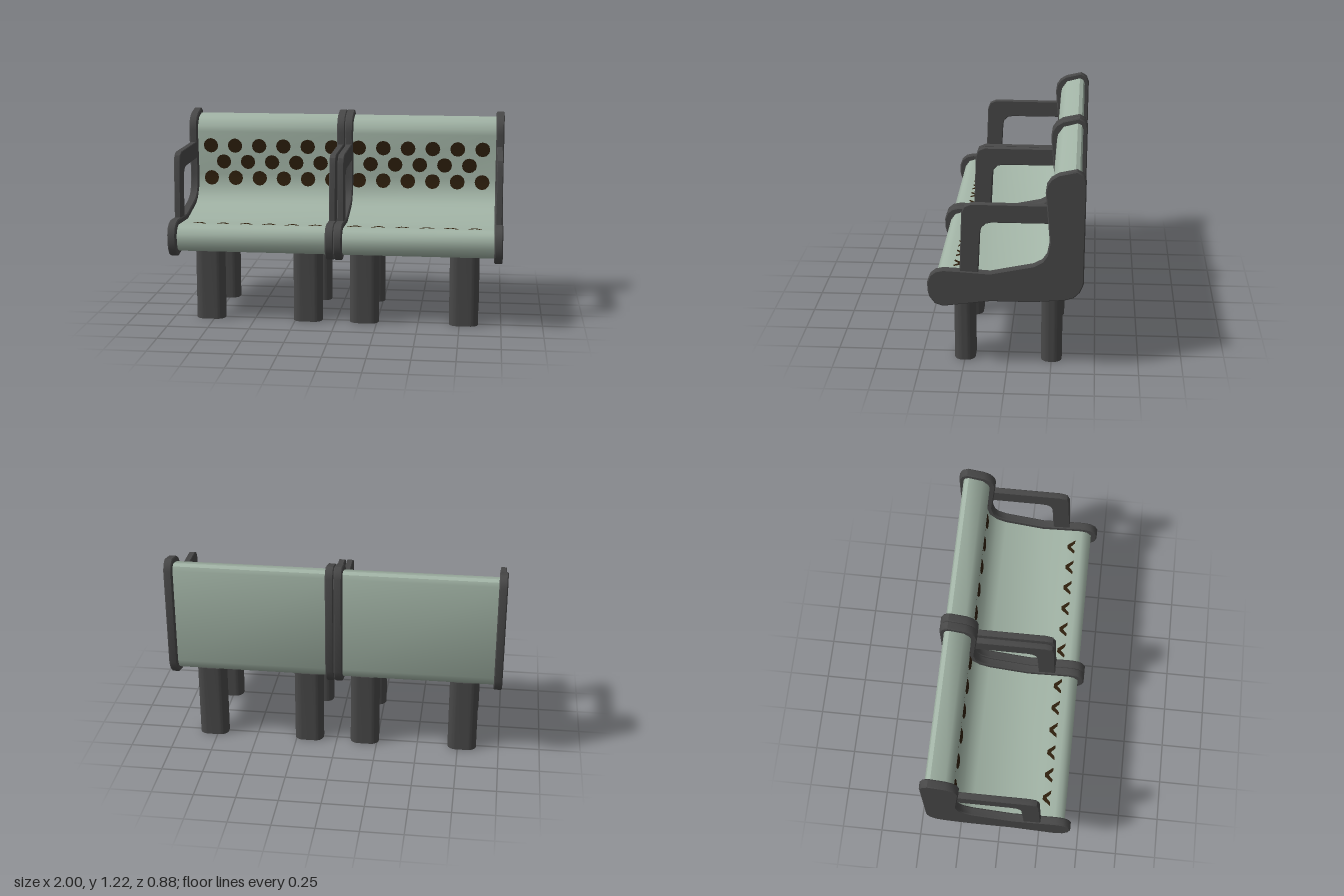
import * as THREE from 'three';
import { toCreasedNormals } from 'three/addons/utils/BufferGeometryUtils.js';

const frameGrey = new THREE.MeshStandardMaterial({ color: 0x484848 });
const sageGreen = new THREE.MeshStandardMaterial({ color: 0xa2b4a6 });
const holeBrown = new THREE.MeshStandardMaterial({ color: 0x2e1f0d, side: THREE.DoubleSide });
frameGrey.name = 'frame grey';
sageGreen.name = 'sage green';
holeBrown.name = 'hole brown';

// Side profiles are listed as [z, y]
const FRAME = [
  [0.44, 0.5], [0.44, 0.55], [0.425, 0.59], [0.395, 0.615], [0.35, 0.625], [0.25, 0.62], [0.09, 0.61],
  [-0.15, 0.66], [-0.2, 0.687], [-0.225, 0.725], [-0.24, 0.8], [-0.215, 1.09], [-0.222, 1.135],
  [-0.245, 1.17], [-0.285, 1.195], [-0.385, 1.217], [-0.42, 1.195], [-0.435, 1.155],
  [-0.43, 0.555], [-0.41, 0.505], [-0.375, 0.47], [-0.325, 0.455], [-0.15, 0.44], [0.09, 0.44],
  [0.355, 0.404], [0.4, 0.42], [0.43, 0.46],
];
const SHELL = [
  [0.402, 0.5], [0.402, 0.545], [0.375, 0.583], [0.34, 0.595], [0.25, 0.59], [0.09, 0.58],
  [-0.15, 0.628], [-0.21, 0.66], [-0.255, 0.72], [-0.27, 0.8], [-0.25, 1.08], [-0.256, 1.115],
  [-0.29, 1.163], [-0.375, 1.186], [-0.398, 1.175], [-0.408, 1.15],
  [-0.404, 0.56], [-0.385, 0.515], [-0.35, 0.49], [-0.15, 0.47], [0.09, 0.47],
  [0.35, 0.435], [0.385, 0.455],
];
const ARM = [
  [0.26, 0.58], [0.245, 0.96], [0.23, 1.0], [0.19, 1.017], [-0.26, 1.015], [-0.26, 0.91],
  [0.08, 0.91], [0.112, 0.903], [0.135, 0.88], [0.143, 0.85], [0.157, 0.58],
];

// Extrude a [z, y] profile sideways, centred on x = 0
function sideExtrude(points, width, bevel) {
  const shape = new THREE.Shape(points.map(([z, y]) => new THREE.Vector2(z, y)));
  const geo = new THREE.ExtrudeGeometry(shape, {
    depth: width - 2 * bevel, bevelEnabled: bevel > 0,
    bevelSize: bevel, bevelThickness: bevel, bevelOffset: -bevel, bevelSegments: 1,
  });
  geo.translate(0, 0, bevel - width / 2);
  geo.rotateY(-Math.PI / 2);
  return toCreasedNormals(geo, 0.7);
}

// Post with a rounded rectangular section
function legGeometry(w, d, h) {
  const a = w / 2, b = d / 2, r = 0.05;
  const s = new THREE.Shape();
  s.absarc(a - r, b - r, r, 0, Math.PI / 2);
  s.absarc(r - a, b - r, r, Math.PI / 2, Math.PI);
  s.absarc(r - a, r - b, r, Math.PI, Math.PI * 1.5);
  s.absarc(a - r, r - b, r, Math.PI * 1.5, Math.PI * 2);
  const geo = new THREE.ExtrudeGeometry(s, { depth: h, bevelEnabled: false, curveSegments: 6 });
  geo.rotateX(-Math.PI / 2);
  return toCreasedNormals(geo, 0.7);
}

// Depth of the backrest face at height y
function backrestZ(y) {
  const p = SHELL.slice(7, 11);
  let i = 0;
  while (i < p.length - 2 && y > p[i + 1][1]) i++;
  const t = (y - p[i][1]) / (p[i + 1][1] - p[i][1]);
  return THREE.MathUtils.lerp(p[i][0], p[i + 1][0], t);
}

// Disc that follows the curve of the backrest
function holeGeometry(x, y) {
  const geo = new THREE.CircleGeometry(0.047, 12);
  geo.translate(x, y, 0);
  const pos = geo.attributes.position;
  for (let i = 0; i < pos.count; i++) pos.setZ(i, backrestZ(pos.getY(i)) + 0.004);
  geo.computeVertexNormals();
  return geo;
}

// Small chevron slot lying flat, with its point towards the backrest
function slotGeometry() {
  const pts = [[-0.048, -0.025], [-0.012, 0.022], [0.012, 0.022], [0.048, -0.025],
    [0.026, -0.025], [0, 0], [-0.026, -0.025]];
  const geo = new THREE.ShapeGeometry(new THREE.Shape(pts.map(p => new THREE.Vector2(...p))));
  geo.rotateX(-Math.PI / 2);
  return geo;
}

export function createModel() {
  const group = new THREE.Group();
  const add = (name, geo, mat, x = 0, y = 0, z = 0) => {
    const mesh = new THREE.Mesh(geo, mat);
    mesh.name = name;
    mesh.position.set(x, y, z);
    group.add(mesh);
    return mesh;
  };

  const frame = sideExtrude(FRAME, 0.05, 0.006);
  const arm = sideExtrude(ARM, 0.038, 0.004);
  const shell = sideExtrude(SHELL, 0.92, 0);
  const leg = legGeometry(0.176, 0.12, 0.465);
  const slot = slotGeometry();

  for (const side of [-1, 1]) {
    // Two seats side by side, each with a frame and armrest at both ends
    add('seatShell', shell, sageGreen, side * 0.49);
    for (const x of [0.025, 0.975]) {
      add('sideFrame', frame, frameGrey, side * x);
      add('armrest', arm, frameGrey, side * x);
    }

    // Legs
    for (const x of [0.173, 0.775])
      for (const z of [-0.25, 0.25]) add('leg', leg, frameGrey, side * x, 0, z);

    // Three staggered rows of holes in the backrest
    for (const [y, start, count] of [[0.99, 0.085, 6], [0.885, 0.16, 5], [0.78, 0.085, 6]])
      for (let i = 0; i < count; i++)
        add('backrestHole', holeGeometry(side * (start + i * 0.1565), y), holeBrown);

    // Drain slots along the front of the seat, above and below
    for (let i = 0; i < 6; i++) {
      const x = side * (0.118 + i * 0.143);
      add('drainSlot', slot, holeBrown, x, 0.596, 0.28).rotation.x = -0.05;
      add('drainSlotUnderside', slot, holeBrown, x, 0.44, 0.28).rotation.x = 0.134;
    }
  }
  return group;
}
